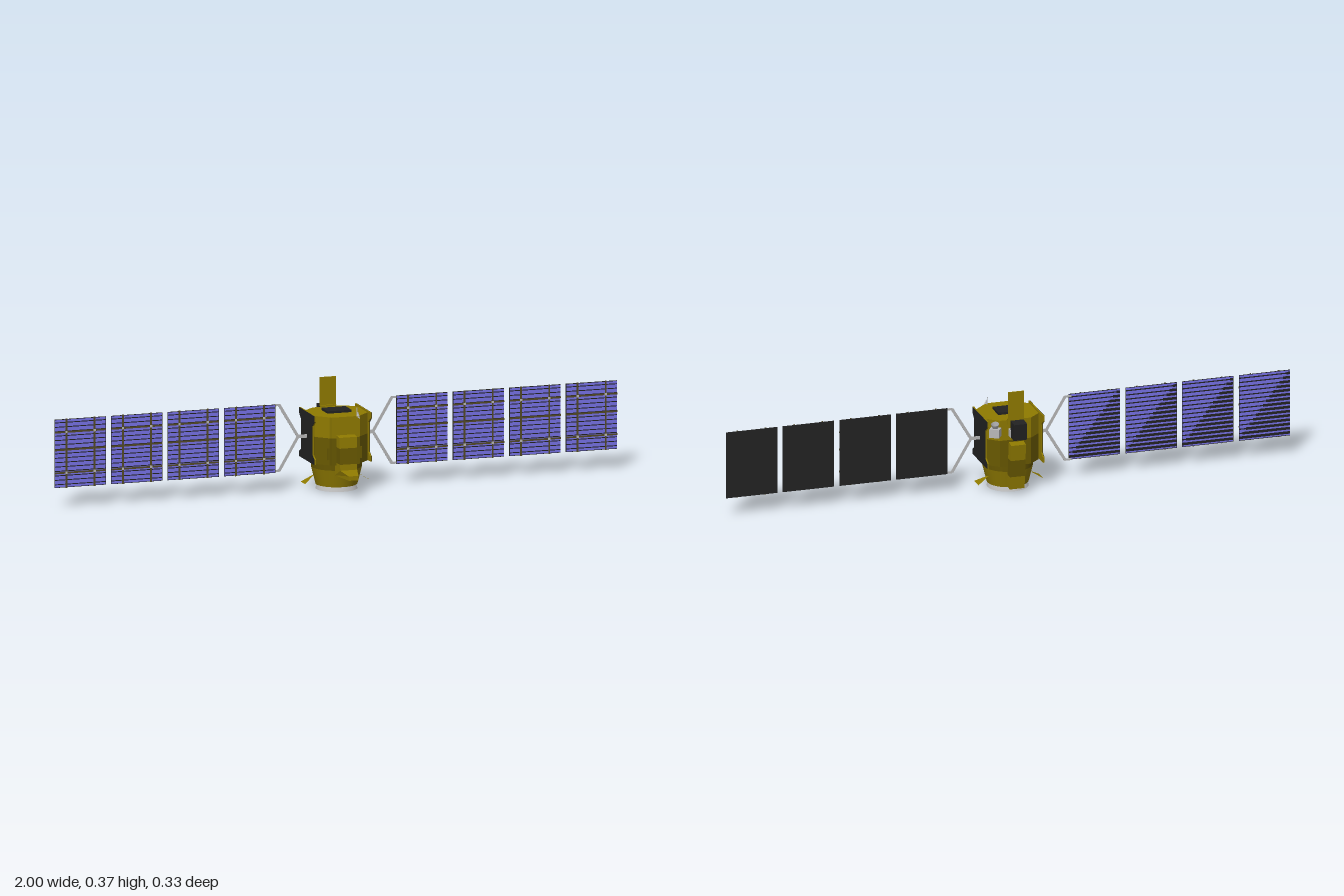
import * as THREE from 'three';

const mat = (name, color, opts = {}) => {
  const m = new THREE.MeshStandardMaterial({ color, ...opts });
  m.name = name;
  return m;
};

export function createModel() {
  const root = new THREE.Group();
  root.name = 'satellite';
  const gold = mat('goldFoil', 0x8f7a00, { side: THREE.DoubleSide });
  const darkGold = mat('darkGoldFoil', 0x685800, { side: THREE.DoubleSide });
  const black = mat('blackPanel', 0x222222);
  const blue = mat('solarBlue', 0x7671e6);
  const brown = mat('harnessBrown', 0x544a26);
  const grey = mat('lightGrey', 0xb8b8b8, { side: THREE.DoubleSide });

  const add = (parent, name, geo, material, x = 0, y = 0, z = 0) => {
    const m = new THREE.Mesh(geo, material);
    m.name = name;
    m.position.set(x, y, z);
    parent.add(m);
    return m;
  };
  const box = (parent, name, material, w, h, d, x, y, z) =>
    add(parent, name, new THREE.BoxGeometry(w, h, d), material, x, y, z);
  // Profile of [z, y] points, given a width along x and centred on x = 0
  const profile = (points, width) => {
    const shape = new THREE.Shape(points.map(p => new THREE.Vector2(...p)));
    const g = new THREE.ExtrudeGeometry(shape, { depth: width, bevelEnabled: false });
    return g.rotateY(-Math.PI / 2).translate(width / 2, 0, 0);
  };
  const rod = (parent, name, a, b, r) => {
    const path = new THREE.LineCurve3(new THREE.Vector3(...a), new THREE.Vector3(...b));
    return add(parent, name, new THREE.TubeGeometry(path, 1, r, 8), grey);
  };
  // Flat strut in the xy plane
  const strut = (parent, name, [x0, y0], [x1, y1], w) => {
    const m = box(parent, name, grey, Math.hypot(x1 - x0, y1 - y0), w, 0.002, (x0 + x1) / 2, (y0 + y1) / 2, 0);
    m.rotation.z = Math.atan2(y1 - y0, x1 - x0);
  };

  // Eight-sided main body in two foil shades
  const half = [[0.055, 0.068], [0.094, 0.03], [0.094, -0.07], [0.055, -0.105]];
  const outline = [...half, ...half.map(([x, z]) => [-x, z]).reverse()];
  const bodyShape = new THREE.Shape(outline.map(([x, z]) => new THREE.Vector2(x, -z)));
  for (const [name, material, y0, y1] of [['bodyLower', darkGold, 0.112, 0.205], ['bodyUpper', gold, 0.205, 0.277]]) {
    const g = new THREE.ExtrudeGeometry(bodyShape, { depth: y1 - y0, bevelEnabled: false });
    add(root, name, g.rotateX(-Math.PI / 2), material, 0, y0, 0);
    box(root, name + 'FrontWall', material, 0.1, y1 - y0, 0.012, 0, (y0 + y1) / 2, 0.07);
  }
  box(root, 'topHatch', black, 0.085, 0.008, 0.064, 0, 0.282, -0.019);

  // Tapered lower body and adapter ring
  const taper = (name, material, r0, y0, r1, y1) => {
    const g = new THREE.CylinderGeometry(r1, r0, y1 - y0, 32);
    add(root, name, g, material, 0, (y0 + y1) / 2, -0.02);
  };
  taper('lowerBodyBand', darkGold, 0.086, 0.09, 0.088, 0.113);
  taper('lowerBody', gold, 0.071, 0.03, 0.086, 0.09);
  add(root, 'adapterRing', new THREE.CylinderGeometry(0.063, 0.071, 0.016, 32, 1, true), grey, 0, 0.022, -0.02);
  add(root, 'ringLip', new THREE.RingGeometry(0.056, 0.071, 32).rotateX(Math.PI / 2), grey, 0, 0.014, -0.02);
  add(root, 'ringFloor', new THREE.CylinderGeometry(0.062, 0.062, 0.004, 32), grey, 0, 0.027, -0.02);
  add(root, 'engineBell', new THREE.CylinderGeometry(0.008, 0.02, 0.018, 20, 1, true), grey, 0, 0.021, -0.02);
  add(root, 'engineThroat', new THREE.CylinderGeometry(0.018, 0.018, 0.004, 20), black, 0, 0.023, -0.02);
  for (let i = 0; i < 4; i++) {
    const a = Math.PI / 4 + i * Math.PI / 2;
    box(root, 'ringBlock', black, 0.016, 0.006, 0.016, Math.cos(a) * 0.042, 0.023, -0.02 + Math.sin(a) * 0.042);
  }

  // Notched radiator panels: thin black faces on foil-covered boards
  const radiator = [[0.05, 0.28], [0.05, 0.26], [0.03, 0.243], [0.03, 0.142], [0.05, 0.13], [0.05, 0.112],
    [-0.11, 0.112], [-0.11, 0.13], [-0.09, 0.142], [-0.09, 0.243], [-0.11, 0.26], [-0.11, 0.28]].reverse();
  for (const s of [-1, 1]) {
    add(root, 'radiatorFace', profile(radiator, 0.001), black, s * 0.1015, 0, 0);
    add(root, 'radiatorBoard', profile(radiator, 0.005), gold, s * 0.0985, 0, 0);
  }

  // Front baffle in bands, with a foot that narrows forward
  const baffle = (name, material, points) => {
    const g = profile(points, 0.076);
    const p = g.attributes.position;
    for (let i = 0; i < p.count; i++) {
      const t = Math.max(0, (p.getZ(i) - 0.1) / 0.063);
      p.setX(i, p.getX(i) * (0.85 - 0.4 * t));
    }
    g.computeVertexNormals();
    add(root, name, g, material);
  };
  baffle('baffleFoot', gold, [[0.06, 0.075], [0.163, 0.075], [0.163, 0.09], [0.11, 0.1], [0.109, 0.12], [0.063, 0.12], [0.06, 0.1]]);
  baffle('baffleMiddle', darkGold, [[0.063, 0.12], [0.109, 0.12], [0.1065, 0.175], [0.07, 0.175]]);
  baffle('baffleTop', gold, [[0.07, 0.175], [0.1065, 0.175], [0.105, 0.212], [0.075, 0.215]]);
  for (const s of [-1, 1]) box(root, 'frontBracket', darkGold, 0.012, 0.04, 0.016, s * 0.055, 0.15, 0.06);

  // Leaning rear duct and upright rear plate
  const duct = (name, material, points) => add(root, name, profile(points, 0.052), material);
  duct('rearDuctFoot', gold, [[-0.1295, 0.08], [-0.098, 0.08], [-0.092, 0.037], [-0.125, 0.035]]);
  duct('rearDuctMiddle', darkGold, [[-0.1355, 0.14], [-0.1055, 0.14], [-0.098, 0.08], [-0.1295, 0.08]]);
  duct('rearDuctTop', gold, [[-0.141, 0.196], [-0.113, 0.2], [-0.1055, 0.14], [-0.1355, 0.14]]);
  box(root, 'uprightPlate', gold, 0.056, 0.1, 0.004, 0, 0.328, -0.111);
  box(root, 'plateFoot', gold, 0.056, 0.02, 0.01, 0, 0.272, -0.107);

  // Rear instruments
  const camera = box(root, 'rearCamera', black, 0.046, 0.058, 0.04, 0, 0.25, -0.141);
  camera.rotation.x = -0.07;
  box(root, 'cameraMount', grey, 0.03, 0.026, 0.034, 0.01, 0.234, -0.112);
  const tracker = new THREE.Group();
  tracker.name = 'starTracker';
  tracker.position.set(0.072, 0.238, -0.108);
  tracker.rotation.y = -0.6;
  root.add(tracker);
  box(tracker, 'trackerBox', grey, 0.034, 0.03, 0.03, 0, 0, 0);
  const hood = add(tracker, 'trackerHood', new THREE.CylinderGeometry(0.014, 0.008, 0.02, 12, 1, true), grey, 0, 0.022, 0);
  hood.rotation.x = -0.3;

  // Small antennas near the front top edge
  rod(root, 'antennaMast', [0.045, 0.275, 0.065], [0.045, 0.303, 0.062], 0.0015);
  rod(root, 'antennaArm', [0.045, 0.272, 0.07], [0.045, 0.273, 0.09], 0.002);
  add(root, 'antennaCup', new THREE.ConeGeometry(0.006, 0.016, 10), grey, 0.045, 0.284, 0.074);

  // Triangular fins beside the lower body
  for (const s of [-1, 1]) {
    const fin = new THREE.BufferGeometry();
    fin.setAttribute('position', new THREE.Float32BufferAttribute(
      [s * 0.07, 0.063, -0.04, s * 0.115, 0.036, -0.008, s * 0.115, 0.036, -0.056], 3));
    fin.computeVertexNormals();
    add(root, 'sideFin', fin, gold);
  }

  // Solar wings: four panels each on a flat forked yoke
  const pw = 0.182, ph = 0.235, cw = pw - 0.003, ch = ph - 0.004;
  for (const s of [-1, 1]) {
    const wing = new THREE.Group();
    wing.name = s > 0 ? 'leftWing' : 'rightWing';
    wing.position.set(0, 0.197, s > 0 ? -0.03 : -0.021);
    root.add(wing);
    const yoke = new THREE.Group();
    yoke.name = 'yoke';
    yoke.position.z = s > 0 ? 0 : -0.009;
    wing.add(yoke);
    strut(yoke, 'yokeStem', [s * 0.1, 0], [s * 0.137, 0], 0.012);
    for (const v of [-1, 1]) {
      strut(yoke, 'yokeFork', [s * 0.133, 0], [s * 0.2, v * 0.113], 0.01);
      strut(yoke, 'yokeTip', [s * 0.198, v * 0.113], [s * 0.222, v * 0.113], 0.007);
    }
    // The left wing has a thicker core with a black rear; the right wing is a thin sheet
    const t = s > 0 ? 0.003 : 0.0008, f = t / 2;
    for (let i = 0; i < 4; i++) {
      const panel = new THREE.Group();
      panel.name = 'solarPanel';
      panel.position.x = s * (0.307 + i * 0.2007);
      wing.add(panel);
      box(panel, 'panelCore', black, pw, ph, t, 0, 0, 0);
      box(panel, 'cellSheet', blue, cw, ch, 0.0006, 0, 0, f);
      if (s < 0) box(panel, 'backCellSheet', blue, cw, ch, 0.0006, 0, 0, -f);
      for (let r = 0; r < 15; r++) {
        const y = (r - 7) * 0.0152;
        box(panel, 'cellRow', black, cw, 0.003, 0.0006, 0, y, f + 0.0004);
        if (s < 0) {
          // Rear rows thicken across a diagonal half
          const w = cw * (15 - r) / 15;
          box(panel, 'backCellRow', black, cw, 0.004, 0.0006, 0, y, -f - 0.0004);
          box(panel, 'backCellBand', black, w, 0.009, 0.0006, (w - cw) / 2, y, -f - 0.0006);
        }
      }
      for (const y of [-0.067, 0.012, 0.073]) box(panel, 'crossHarness', brown, pw, 0.006, 0.0006, 0, y, f + 0.0008);
      for (const x of [-0.05, 0.05]) {
        box(panel, 'verticalHarness', brown, 0.006, ph + 0.004, 0.0006, x, 0, f + 0.0011);
        for (const y of [-0.067, 0.073]) box(panel, 'holdDown', grey, 0.008, 0.008, 0.001, x, y, f + 0.0014);
      }
    }
  }
  return root;
}
